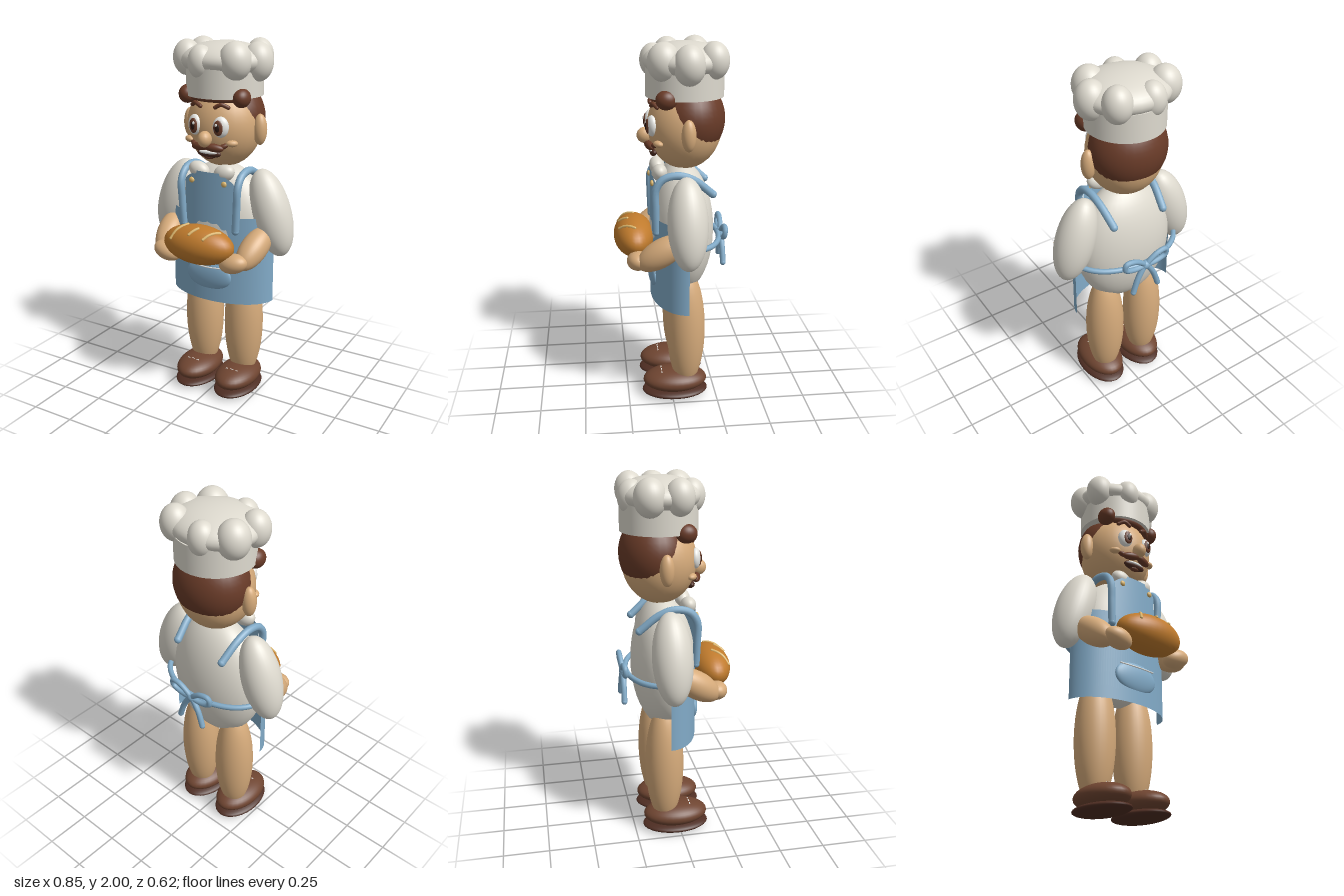
import * as THREE from 'three';

const mat = (name, color, side = THREE.FrontSide) => {
  const m = new THREE.MeshStandardMaterial({ color, side });
  m.name = name;
  return m;
};
const V = (p) => new THREE.Vector3(...p);

export function createModel() {
  const root = new THREE.Group();
  root.name = 'baker';
  const white = mat('cream cloth', 0xdedacf);
  const skin = mat('skin', 0xd6ab7b);
  const blue = mat('apron blue', 0x82abc8, THREE.DoubleSide);
  const leather = mat('shoe brown', 0x6f4531);
  const hairMat = mat('hair brown', 0x693b28);
  const sole = mat('sole brown', 0x4e2d22);
  const crust = mat('crust', 0xc07b2d);
  const tan = mat('score tan', 0xdcb66c);
  const dark = mat('pupil', 0x2a1812);
  const eyeWhite = mat('eye white', 0xeeeeea);

  const add = (name, geo, material) => {
    const m = new THREE.Mesh(geo, material);
    m.name = name;
    root.add(m);
    return m;
  };
  // Ellipsoids: small details use a coarser sphere
  const largeSphere = new THREE.SphereGeometry(1, 32, 22);
  const smallSphere = new THREE.SphereGeometry(1, 16, 12);
  const ball = (name, material, pos, radii, rot = [0, 0, 0]) => {
    const m = add(name, Math.max(...radii) > 0.05 ? largeSphere : smallSphere, material);
    m.position.set(...pos);
    m.scale.set(...radii);
    m.rotation.set(...rot);
    return m;
  };
  // Mirrored ellipsoids; positions and turns are given for the left (+x) side
  const balls = (name, material, [x, y, z], radii, [a, b, c] = [0, 0, 0]) => {
    for (const s of [1, -1]) {
      ball((s > 0 ? 'left ' : 'right ') + name, material, [x * s, y, z], radii, [a, b * s, c * s]);
    }
  };
  // Tube through points, with rounded ends
  const tube = (name, material, pts, r, closed = false) => {
    const curve = new THREE.CatmullRomCurve3(pts.map(V), closed);
    add(name, new THREE.TubeGeometry(curve, 32, r, 10, closed), material);
    if (!closed) for (const p of [pts[0], pts[pts.length - 1]]) ball(name + ' end', material, p, [r, r, r]);
  };
  const tubes = (name, material, pts, r, closed) => {
    for (const s of [1, -1]) {
      tube((s > 0 ? 'left ' : 'right ') + name, material, pts.map(([x, y, z]) => [x * s, y, z]), r, closed);
    }
  };

  // Legs and shoes
  balls('leg', skin, [0.13, 0.41, -0.08], [0.112, 0.36, 0.107]);
  balls('shoe', leather, [0.13, 0.095, -0.018], [0.118, 0.066, 0.182]);
  balls('sole', sole, [0.13, 0.03, -0.018], [0.122, 0.03, 0.188]);
  for (const s of [1, -1]) {
    for (let i = -1; i <= 1; i++) {
      const lace = add('lace', new THREE.BoxGeometry(0.02, 0.006, 0.006), eyeWhite);
      lace.position.set(s * 0.13 + i * 0.028, 0.152 - Math.abs(i) * 0.002, 0.06);
    }
  }

  // Torso, sleeves and collar
  ball('torso', white, [0, 0.98, -0.065], [0.285, 0.37, 0.175]);
  balls('sleeve', white, [0.298, 1.095, -0.065], [0.11, 0.245, 0.107], [0, 0, 0.3]);
  balls('collar', white, [0.077, 1.315, 0.062], [0.062, 0.046, 0.042], [0, 0, 0.35]);

  // Apron wraps round the front on an elliptical curve
  const RX = 0.313, RZ = 0.182, CZ = -0.075;
  const frontZ = (x) => CZ + RZ * Math.sqrt(Math.max(0, 1 - (x / RX) ** 2));
  const skirt = add('apron skirt', new THREE.CylinderGeometry(1, 1, 0.5, 64, 1, true, -Math.PI / 2, Math.PI), blue);
  skirt.scale.set(RX, 1, RZ);
  skirt.position.set(0, 0.83, CZ);
  const bib = new THREE.PlaneGeometry(2, 1, 24, 20);
  const p = bib.attributes.position;
  for (let i = 0; i < p.count; i++) {
    const t = p.getY(i) + 0.5;
    const x = p.getX(i) * (0.152 - 0.085 * Math.max(0, (t - 0.78) / 0.22) ** 1.3);
    p.setXYZ(i, x, 1.06 + 0.26 * t, frontZ(x) + 0.001);
  }
  bib.computeVertexNormals();
  add('apron bib', bib, blue);
  ball('pocket', blue, [0, 0.73, 0.092], [0.14, 0.087, 0.03]);
  tube('pocket stitch', eyeWhite, [[-0.115, 0.787, 0.106], [0, 0.783, 0.119], [0.115, 0.787, 0.106]], 0.004);
  tubes('strap', blue, [[0.162, 1.01, 0.088], [0.17, 1.14, 0.092], [0.175, 1.25, 0.09], [0.175, 1.305, 0.05],
    [0.175, 1.322, -0.03], [0.17, 1.295, -0.11], [0.155, 1.21, -0.215]], 0.021);
  balls('button', tan, [0.1, 1.265, 0.104], [0.016, 0.016, 0.01]);

  // Waist tie and bow at the back
  const tie = [];
  for (let i = 0; i <= 12; i++) {
    const a = (i / 12) * Math.PI;
    tie.push([RX * Math.cos(a), 0.955 - 0.015 * Math.sin(a), CZ - 0.195 * Math.sin(a)]);
  }
  tube('waist tie', blue, tie, 0.015);
  ball('bow knot', blue, [0, 0.94, -0.285], [0.028, 0.026, 0.024]);
  tubes('bow loop', blue, [[0.01, 0.945, -0.288], [0.07, 0.995, -0.293], [0.128, 1.0, -0.292],
    [0.13, 0.962, -0.288], [0.07, 0.937, -0.285]], 0.015, true);
  tubes('bow tail', blue, [[0.01, 0.935, -0.288], [0.05, 0.87, -0.29], [0.08, 0.785, -0.292]], 0.016);

  // Forearms and hands
  balls('forearm', skin, [0.268, 0.93, 0.07], [0.073, 0.075, 0.15], [0.6, -0.15, 0]);
  balls('hand', skin, [0.207, 0.868, 0.19], [0.083, 0.053, 0.06], [0, 0, 0.25]);

  // Loaf with scored top
  ball('loaf', crust, [0, 0.943, 0.2], [0.21, 0.108, 0.11]);
  for (const [x0, z0, x1, z1] of [[-0.065, 0.2, -0.125, 0.28], [0.02, 0.235, -0.012, 0.278], [0.132, 0.2, 0.075, 0.28]]) {
    const pts = [0, 0.33, 0.67, 1].map((t) => {
      const x = x0 + (x1 - x0) * t, z = z0 + (z1 - z0) * t;
      return [x, 0.943 + 0.108 * Math.sqrt(1 - (x / 0.21) ** 2 - ((z - 0.2) / 0.11) ** 2), z];
    });
    tube('score', tan, pts, 0.008);
  }

  // Head, ears and hair
  ball('head', skin, [0, 1.55, -0.08], [0.205, 0.23, 0.2]);
  balls('ear', skin, [0.215, 1.54, -0.077], [0.038, 0.083, 0.038]);
  ball('hair', hairMat, [0, 1.59, -0.11], [0.21, 0.21, 0.185]);
  balls('curl', hairMat, [0.163, 1.715, 0.033], [0.046, 0.05, 0.056]);
  tube('fringe', hairMat, [[-0.14, 1.71, 0.03], [-0.07, 1.708, 0.075], [0, 1.708, 0.088], [0.07, 1.708, 0.075], [0.14, 1.71, 0.03]], 0.02);

  // Face
  balls('eye', eyeWhite, [0.078, 1.568, 0.1], [0.043, 0.055, 0.028], [0, 0.3, 0]);
  balls('iris', hairMat, [0.075, 1.566, 0.122], [0.027, 0.04, 0.011], [0, 0.2, 0]);
  balls('pupil', dark, [0.074, 1.566, 0.129], [0.014, 0.023, 0.007], [0, 0.2, 0]);
  balls('eye glint', eyeWhite, [0.068, 1.582, 0.134], [0.007, 0.009, 0.004]);
  tubes('brow', hairMat, [[0.045, 1.668, 0.1], [0.078, 1.683, 0.095], [0.108, 1.668, 0.075]], 0.011);
  ball('nose', skin, [0, 1.503, 0.132], [0.037, 0.043, 0.044]);
  balls('cheek', skin, [0.13, 1.482, 0.072], [0.032, 0.018, 0.022], [0, 0.6, 0]);
  balls('moustache', hairMat, [0.045, 1.458, 0.112], [0.053, 0.022, 0.022], [0, 0.25, -0.1]);
  balls('moustache tip', hairMat, [0.088, 1.465, 0.09], [0.03, 0.014, 0.016], [0, 0.5, 0.4]);
  ball('mouth', sole, [0, 1.42, 0.086], [0.072, 0.024, 0.024]);
  ball('teeth', eyeWhite, [0, 1.427, 0.099], [0.055, 0.011, 0.015]);
  ball('chin tuft', hairMat, [0, 1.4, 0.088], [0.03, 0.012, 0.016]);

  // Hat: band, crown and a ring of puffs
  const band = add('hat band', new THREE.CylinderGeometry(0.207, 0.207, 0.15, 56), white);
  band.position.set(0, 1.785, -0.08);
  ball('hat crown', white, [0, 1.893, -0.077], [0.245, 0.097, 0.217]);
  for (const [x, z, r, y] of [[-0.05, -0.23, 0.072, 1.89], [0.135, -0.215, 0.076, 1.905], [-0.18, -0.155, 0.084, 1.9],
    [0.195, -0.08, 0.082, 1.89], [-0.188, -0.005, 0.076, 1.9], [0.128, 0.042, 0.086, 1.9], [-0.05, 0.083, 0.07, 1.89]]) {
    ball('hat puff', white, [x, y, z], [r, Math.min(r * 1.25, 2 - y), r]);
  }
  return root;
}
